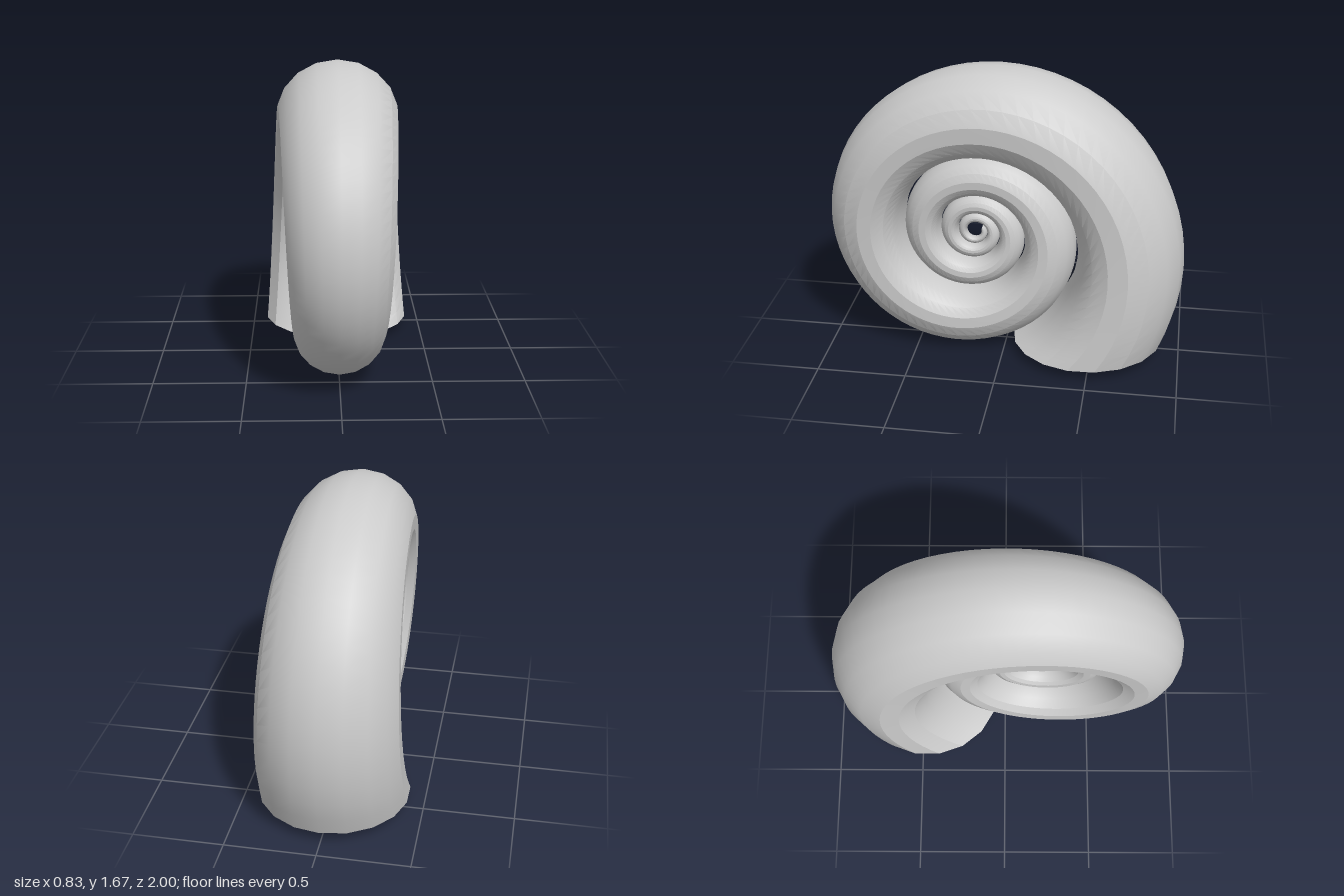
import * as THREE from 'three';
import { toCreasedNormals } from 'three/addons/utils/BufferGeometryUtils.js';

const SIDES = 18;            // facets around the tube
const STEPS_PER_TURN = 64;
const TURNS = 4.2;
const GROWTH = 2.05;         // size ratio from one whorl to the next
const PIVOT = { y: 0.688, z: 0.178 };

// Mouth ring, relative to the spiral pivot; u points towards the back (-z)
function mouthPoint(j) {
  const t = (j / SIDES) * Math.PI * 2;
  return {
    x: 0.42 * Math.sin(t),
    u: 0.65 + 0.428 * Math.cos(t),
    v: -0.625 + 0.007 * Math.cos(t),
  };
}

// Each ring is the mouth ring turned and shrunk about the pivot
function whorlGeometry() {
  const positions = [], index = [];
  const steps = Math.round(TURNS * STEPS_PER_TURN);
  for (let i = 0; i <= steps; i++) {
    const turn = i / STEPS_PER_TURN;
    const s = Math.pow(GROWTH, -turn);
    const c = Math.cos(turn * Math.PI * 2) * s;
    const n = Math.sin(turn * Math.PI * 2) * s;
    for (let j = 0; j < SIDES; j++) {
      const p = mouthPoint(j);
      positions.push(p.x * s, PIVOT.y + p.u * n + p.v * c, PIVOT.z - (p.u * c - p.v * n));
      if (i === steps) continue;
      const a = i * SIDES + j, d = i * SIDES + (j + 1) % SIDES;
      index.push(a, a + SIDES, d, a + SIDES, d + SIDES, d);
    }
  }
  const geometry = new THREE.BufferGeometry();
  geometry.setAttribute('position', new THREE.Float32BufferAttribute(positions, 3));
  geometry.setIndex(index);
  // Enlarged while creasing so the tiny inner rings are not merged
  geometry.scale(100, 100, 100);
  const creased = toCreasedNormals(geometry, THREE.MathUtils.degToRad(22));
  creased.scale(0.01, 0.01, 0.01);
  return creased;
}

export function createModel() {
  const group = new THREE.Group();
  group.name = 'spiralShell';
  // Open-ended coiled tube, visible inside and out
  const material = new THREE.MeshStandardMaterial({ color: 0xcccccc, side: THREE.DoubleSide });
  const shell = new THREE.Mesh(whorlGeometry(), material);
  shell.name = 'shellWhorls';
  group.add(shell);
  return group;
}
